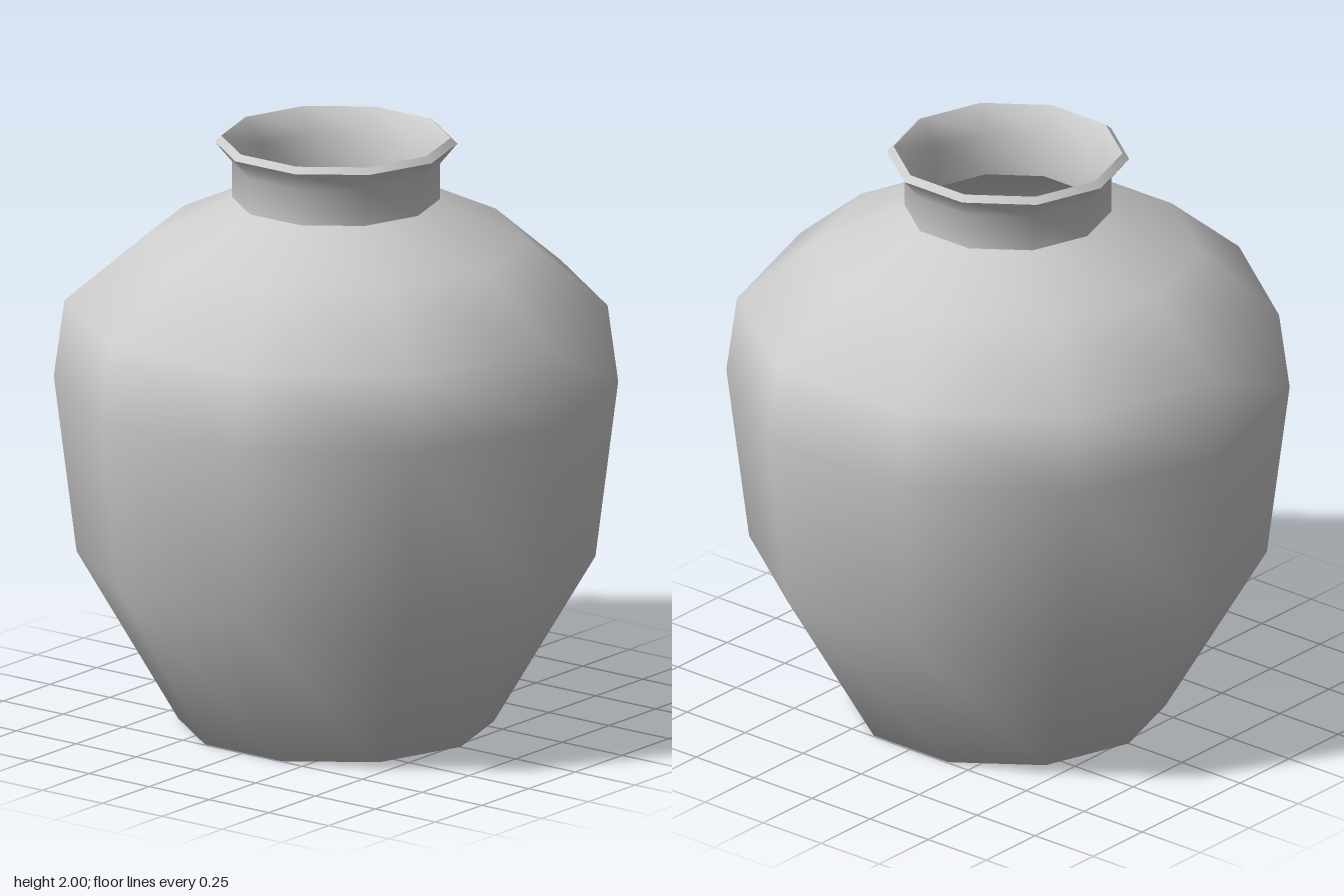
import * as THREE from 'three';

const SIDES = 10;

export function createModel() {
  const group = new THREE.Group();
  const clay = new THREE.MeshStandardMaterial({ color: 0xcccccc });
  clay.name = 'clay grey';

  // Turns a [radius, height] profile into a ten-sided smooth-shaded surface
  const turn = (name, profile) => {
    const points = profile.map(([r, y]) => new THREE.Vector2(r, y));
    const mesh = new THREE.Mesh(new THREE.LatheGeometry(points, SIDES), clay);
    mesh.name = name;
    group.add(mesh);
  };

  // Base, belly and shoulder
  turn('body', [
    [0, 0], [0.52, 0], [0.855, 0.57], [0.93, 1.17],
    [0.895, 1.43], [0.635, 1.65], [0.34, 1.79],
  ]);

  // Upright neck flaring out to the lip
  turn('neck', [[0.342, 1.785], [0.342, 1.91], [0.4, 1.98]]);

  // Thin bevelled edge of the mouth
  turn('lip', [[0.4, 1.98], [0.378, 2]]);

  // Funnel inside the mouth
  turn('mouth', [[0.378, 2], [0.312, 1.92], [0.312, 1.77]]);

  // Hollow inside, from the neck down to the floor
  turn('interior', [
    [0.312, 1.77], [0.61, 1.62], [0.86, 1.41], [0.89, 1.17],
    [0.82, 0.58], [0.5, 0.04], [0, 0.04],
  ]);

  return group;
}
